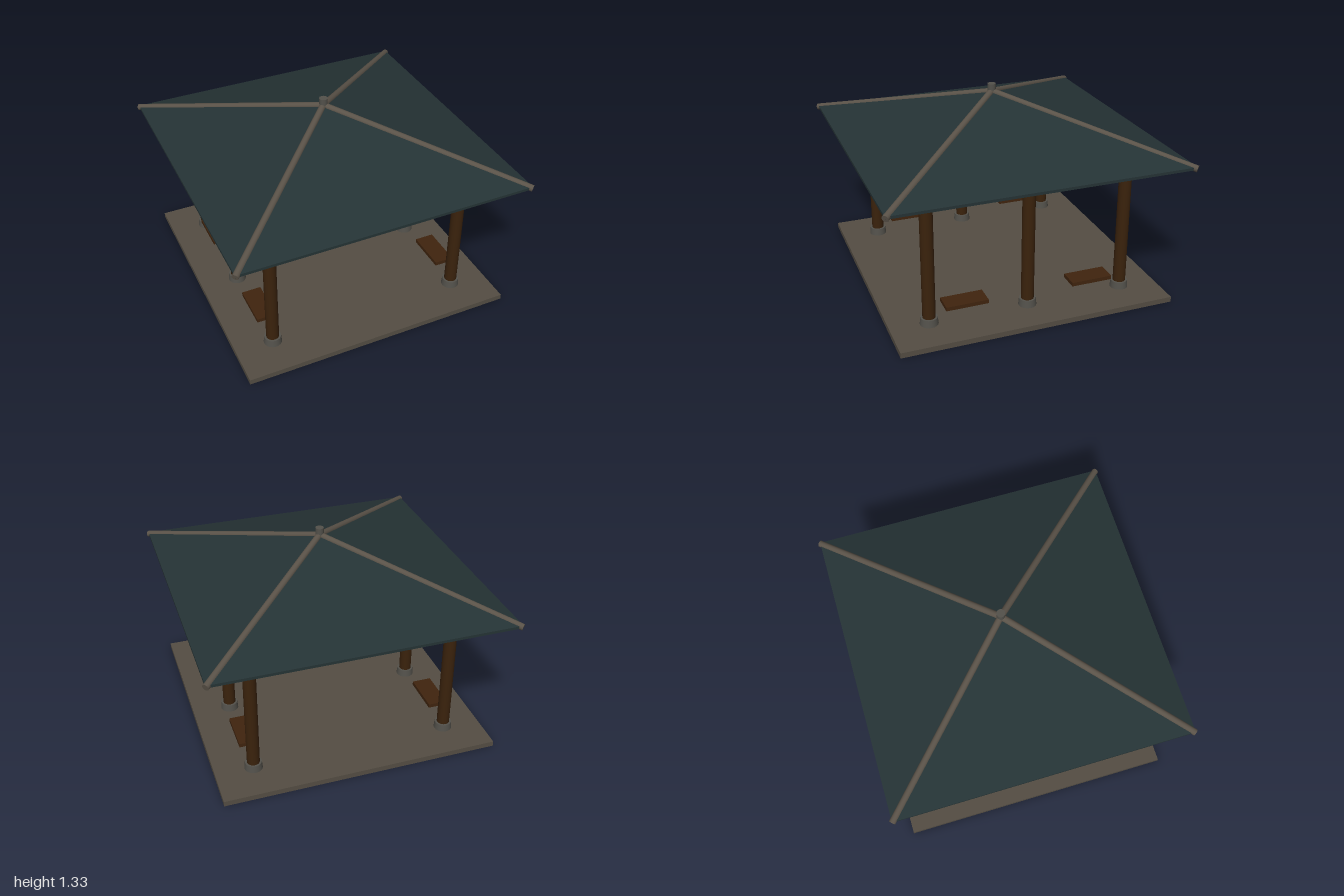
import * as THREE from 'three';

const mat = (name, color) => {
  const m = new THREE.MeshStandardMaterial({ color });
  m.name = name;
  return m;
};

export function createModel() {
  const group = new THREE.Group();
  const paving = mat('paving', 0x544d43);
  const stone = mat('footing stone', 0x53514b);
  const wood = mat('dark timber', 0x3a220c);
  const benchWood = mat('bench timber', 0x40240e);
  const slate = mat('roof slate', 0x253335);
  const ridgeTile = mat('ridge tile', 0x5a5248);

  const add = (name, geometry, material, x = 0, y = 0, z = 0) => {
    const mesh = new THREE.Mesh(geometry, material);
    mesh.name = name;
    mesh.position.set(x, y, z);
    group.add(mesh);
    return mesh;
  };
  // round pole between two points
  const pole = (name, a, b, r, material) => {
    const dir = b.clone().sub(a);
    const mesh = add(name, new THREE.CylinderGeometry(r, r, dir.length(), 16), material);
    mesh.position.copy(a).add(b).multiplyScalar(0.5);
    mesh.quaternion.setFromUnitVectors(new THREE.Vector3(0, 1, 0), dir.normalize());
  };
  const v = (x, y, z) => new THREE.Vector3(x, y, z);

  // floor slab
  add('floorSlab', new THREE.BoxGeometry(1.84, 0.036, 1.84), paving, 0, 0.018, 0);

  // posts with footings, three along each side
  const P = 0.665;
  for (const x of [-P, P]) {
    for (const z of [-P, 0, P]) {
      add('footing', new THREE.CylinderGeometry(0.055, 0.06, 0.05, 20), stone, x, 0.06, z);
      add('post', new THREE.CylinderGeometry(0.042, 0.042, 0.855, 20), wood, x, 0.4625, z);
    }
    // benches between the posts
    for (const z of [-0.43, 0.43]) {
      add('bench', new THREE.BoxGeometry(0.13, 0.026, 0.28), benchWood, x, 0.152, z);
    }
  }

  // perimeter beams
  for (const s of [-P, P]) {
    pole('crossBeam', v(-P, 0.847, s), v(P, 0.847, s), 0.037, wood);
    pole('sideBeam', v(s, 0.847, -P), v(s, 0.847, P), 0.037, wood);
  }

  // hipped roof shell: square rings [half width, height] from outer apex to inner apex
  const rings = [[0, 1.285], [0.985, 0.982], [0.985, 0.964], [0.9, 0.965], [0, 1.26]];
  const corners = [[-1, 1], [1, 1], [1, -1], [-1, -1]];
  const pos = [];
  for (let k = 0; k < rings.length - 1; k++) {
    for (let i = 0; i < 4; i++) {
      const at = ([w, y], c) => [c[0] * w, y, c[1] * w];
      const c0 = corners[i], c1 = corners[(i + 1) % 4];
      const a = at(rings[k], c0), b = at(rings[k + 1], c0);
      const c = at(rings[k + 1], c1), d = at(rings[k], c1);
      if (rings[k + 1][0] > 0) pos.push(...a, ...b, ...c);
      if (rings[k][0] > 0) pos.push(...a, ...c, ...d);
    }
  }
  const shell = new THREE.BufferGeometry();
  shell.setAttribute('position', new THREE.Float32BufferAttribute(pos, 3));
  shell.computeVertexNormals();
  add('roof', shell, slate);

  // hip ridges and finial
  for (const [sx, sz] of corners) {
    pole('hipRidge', v(0, 1.28, 0), v(sx * 0.985, 0.97, sz * 0.985), 0.022, ridgeTile);
  }
  add('finial', new THREE.CylinderGeometry(0.028, 0.028, 0.06, 12), stone, 0, 1.304, 0);

  return group;
}
